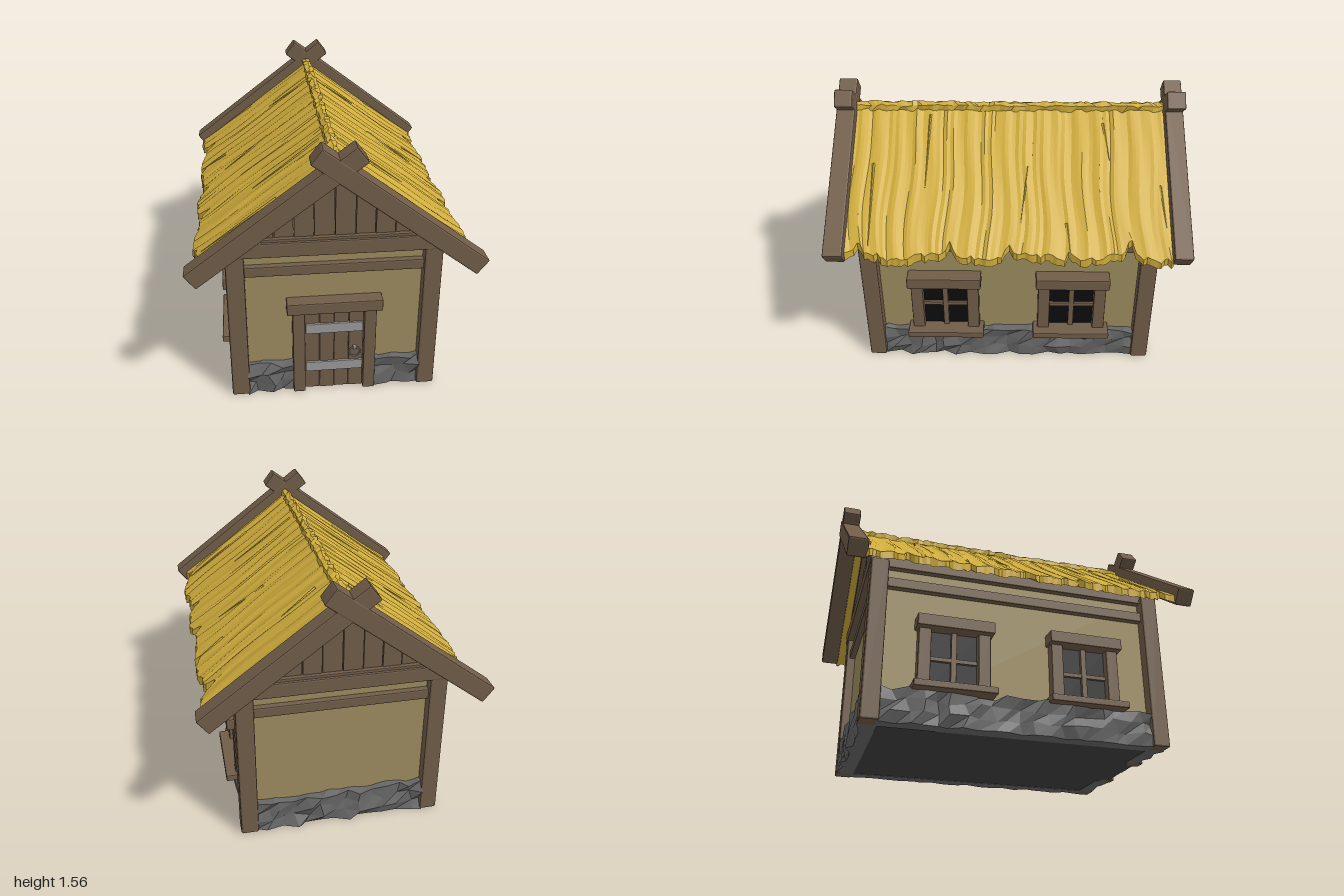
import * as THREE from 'three';
import { RoundedBoxGeometry } from 'three/addons/geometries/RoundedBoxGeometry.js';

const paint = (color) => new THREE.MeshStandardMaterial({ color, flatShading: true });
const wood = paint(0x705c48), plaster = paint(0x9c8b5e), straw = paint(0xcfac3c);
const stone = paint(0x686868), metal = paint(0x999999), dark = paint(0x0c0c0c), earth = paint(0x404040);

// Repeatable noise in -1..1 from a position
function noise(x, y = 0, z = 0) {
  const n = Math.sin(Math.round(x * 500) * 12.9898 + Math.round(y * 500) * 78.233 + Math.round(z * 500) * 37.719) * 43758.5453;
  return (n - Math.floor(n)) * 2 - 1;
}

function add(parent, name, geometry, material, x = 0, y = 0, z = 0) {
  const mesh = new THREE.Mesh(geometry, material);
  mesh.name = name;
  mesh.position.set(x, y, z);
  parent.add(mesh);
  return mesh;
}

// Chamfered timber given by its lower and upper corners
function timber(parent, name, [x0, y0, z0], [x1, y1, z1], material = wood, bevel = 0.007) {
  const geometry = new RoundedBoxGeometry(x1 - x0, y1 - y0, z1 - z0, 1, bevel);
  return add(parent, name, geometry, material, (x0 + x1) / 2, (y0 + y1) / 2, (z0 + z1) / 2);
}

// Moves every vertex by a rule that edits the vector in place
function reshape(geometry, rule) {
  const pos = geometry.attributes.position, v = new THREE.Vector3();
  for (let i = 0; i < pos.count; i++) {
    rule(v.fromBufferAttribute(pos, i));
    pos.setXYZ(i, v.x, v.y, v.z);
  }
  geometry.computeVertexNormals();
  return geometry;
}

// Rough stone footing from x0 to x1, its face at depth z
function footing(parent, x0, x1, z) {
  const length = x1 - x0, columns = Math.max(4, Math.round(length / 0.075));
  const geometry = reshape(new THREE.BoxGeometry(length, 0.19, 0.09, columns, 3, 1), (v) => {
    const { x, y, z: depth } = v, seed = x + z * 3 + x0;
    const inside = Math.abs(x) < length / 2 - 0.001;
    if (inside) v.x += noise(seed, y, 1) * 0.022;
    if (y > -0.09) v.y += noise(seed, y, depth) * 0.014;
    if (depth > 0) v.z += noise(seed, y, 3) * 0.022;
  });
  add(parent, 'stoneFooting', geometry, stone, (x0 + x1) / 2, 0.095, z - 0.045);
}

const ridgeY = 1.425, slope = 0.75;

function buildThatch(parent) {
  const half = 0.735, depth = 1.8;
  const notches = [[-0.65, 0.08], [-0.33, 0.04], [-0.02, 0.05], [0.3, 0.05], [0.84, 0.05]];
  const geometry = reshape(new THREE.BoxGeometry(half * 2, 0.045, depth, 24, 1, 90), (v) => {
    const a = Math.abs(v.x), t = a / half, top = v.y > 0, z = v.z;
    const bend = z + 0.02 * Math.sin(t * 7 + z * 4) * t;
    let reach = 0.012 * noise(0, 0, z) + 0.012 * Math.sin(z * 13);
    for (const [at, deep] of notches) reach -= deep * Math.max(0, 1 - Math.abs(z - at) / 0.035);
    const x = a + reach * Math.max(0, (t - 0.85) / 0.15);
    const ripple = 0.005 * noise(5, 0, z) + 0.004 * Math.sin(z * 60 + t * 3);
    v.x = Math.sign(v.x) * x;
    v.y = ridgeY - slope * x + (top ? ripple : -0.045 + 0.008 * noise(2, 0, z) * t);
    if (Math.abs(z) < depth / 2 - 0.01) v.z = bend;
  });
  add(parent, 'thatch', geometry, straw);

  // Ragged straw roll along the ridge
  const roll = reshape(new THREE.BoxGeometry(0.05, 0.035, 1.79, 2, 1, 60), (v) => {
    const { x, y, z } = v;
    v.x += 0.008 * noise(x, y, z);
    v.y += 0.007 * noise(x + 1, y, z) - Math.abs(x) * 0.5;
  });
  add(parent, 'ridgeRoll', roll, straw, 0, ridgeY + 0.008, 0);

  // Loose straws lying on both slopes: upper x and z, lower x and z
  const loose = [[0.05, 0.46, 0.42, 0.47], [0.31, -0.11, 0.58, -0.07], [0.09, -0.54, 0.28, -0.57],
    [0.58, -0.32, 0.72, -0.34], [0.3, 0.77, 0.7, 0.765], [0.4, -0.85, 0.6, -0.87]];
  for (const side of [-1, 1]) for (const [xa, za, xb, zb] of loose) {
    const a = new THREE.Vector3(side * xa, ridgeY + 0.002 - slope * xa, za);
    const b = new THREE.Vector3(side * xb, ridgeY + 0.006 - slope * xb, zb);
    const blade = add(parent, 'looseStraw', new THREE.CylinderGeometry(0.001, 0.008, a.distanceTo(b), 4), straw);
    blade.position.lerpVectors(a, b, 0.5);
    blade.quaternion.setFromUnitVectors(new THREE.Vector3(0, 1, 0), b.sub(a).normalize());
  }
}

// Planked gable, tie beams and crossed bargeboards, facing +z
function buildGable() {
  const gable = new THREE.Group();
  gable.name = 'gable';
  const topAt = (x) => 1.4 - 0.76 * Math.abs(x);
  const edges = [-0.53, -0.43, -0.32, -0.215, -0.11, 0, 0.11, 0.215, 0.32, 0.43, 0.53];
  for (let i = 0; i < edges.length - 1; i++) {
    const a = edges[i] + 0.002, b = edges[i + 1] - 0.002;
    const shape = new THREE.Shape([[a, 0.96], [b, 0.96], [b, topAt(b)], [a, topAt(a)]].map((p) => new THREE.Vector2(...p)));
    const plank = new THREE.ExtrudeGeometry(shape, { depth: 0.03, bevelEnabled: false });
    add(gable, 'gablePlank', plank, wood, 0, 0, 0.79 + (i % 2) * 0.004);
  }
  const angle = Math.atan(0.76);
  for (const side of [-1, 1]) {
    const trim = add(gable, 'gableTrim', new RoundedBoxGeometry(0.68, 0.05, 0.05, 1, 0.005), wood, side * 0.265, 1.16, 0.825);
    trim.rotation.z = -side * angle;
    const board = add(gable, 'bargeboard', new RoundedBoxGeometry(1.09, 0.102, side > 0 ? 0.108 : 0.104, 1, 0.008), wood, side * 0.321, 1.19, 0.946);
    board.rotation.z = -side * angle;
  }
  timber(gable, 'tieBeam', [-0.57, 0.9, 0.76], [0.57, 0.985, 0.86]);
  timber(gable, 'tieBeamCap', [-0.5, 0.98, 0.78], [0.5, 1.0, 0.845], wood, 0.004);
  timber(gable, 'wallRail', [-0.5, 0.77, 0.78], [0.5, 0.83, 0.835]);
  return gable;
}

// Window seen along +z, its wall face at z = 0
function buildWindow() {
  const win = new THREE.Group();
  win.name = 'window';
  add(win, 'windowOpening', new THREE.BoxGeometry(0.28, 0.34, 0.01), dark, 0, 0.38, 0.002);
  for (const side of [-1, 1]) timber(win, 'windowPost', [side * 0.165 - 0.035, 0.21, -0.02], [side * 0.165 + 0.035, 0.55, 0.05]);
  timber(win, 'windowMullion', [-0.016, 0.21, -0.01], [0.016, 0.55, 0.026], wood, 0.004);
  timber(win, 'windowCrossbar', [-0.14, 0.367, -0.01], [0.14, 0.392, 0.022], wood, 0.004);
  timber(win, 'windowLintel', [-0.215, 0.54, -0.02], [0.215, 0.61, 0.088]);
  timber(win, 'windowSill', [-0.227, 0.185, -0.02], [0.227, 0.225, 0.108]);
  return win;
}

function buildDoor() {
  const door = new THREE.Group();
  door.name = 'door';
  for (let i = 0; i < 4; i++) {
    const x = -0.164 + i * 0.082;
    timber(door, 'doorPlank', [x, 0.004, 0.78], [x + 0.081, 0.55, 0.832 + (i % 2) * 0.003], wood, 0.004);
  }
  for (const side of [-1, 1]) timber(door, 'doorPost', [side * 0.198 - 0.034, 0, 0.78], [side * 0.198 + 0.034, 0.55, 0.862]);
  timber(door, 'doorLintel', [-0.263, 0.54, 0.78], [0.263, 0.61, 0.878]);
  for (const y of [0.16, 0.42]) timber(door, 'doorStrap', [-0.16, y - 0.031, 0.82], [0.16, y + 0.031, 0.845], metal, 0.003);
  add(door, 'doorRing', new THREE.TorusGeometry(0.031, 0.005, 6, 20), metal, 0.115, 0.252, 0.846);
  timber(door, 'ringStaple', [0.106, 0.272, 0.825], [0.124, 0.29, 0.856], metal, 0.003);
  return door;
}

export function createModel() {
  const house = new THREE.Group();
  house.name = 'cottage';

  // Walls, ground slab and corner posts
  add(house, 'walls', new THREE.BoxGeometry(1.04, 0.93, 1.6), plaster, 0, 0.475, 0);
  add(house, 'groundSlab', new THREE.BoxGeometry(1.08, 0.02, 1.64), earth, 0, 0.012, 0);
  for (const x of [-0.53, 0.53]) for (const z of [-0.805, 0.805]) {
    timber(house, 'cornerPost', [x - 0.05, 0, z - 0.05], [x + 0.05, 0.925, z + 0.05], wood, 0.01);
  }

  // Long sides: windows, rail, eave beam and footing, facing +z before turning
  for (const side of [-1, 1]) {
    const flank = new THREE.Group();
    flank.name = side > 0 ? 'leftSide' : 'rightSide';
    for (const x of [-0.375, 0.375]) {
      const win = buildWindow();
      win.position.set(x, 0, 0.522);
      flank.add(win);
    }
    timber(flank, 'wallRail', [-0.77, 0.77, 0.5], [0.77, 0.83, 0.555]);
    timber(flank, 'eaveBeam', [-0.77, 0.89, 0.47], [0.77, 0.955, 0.555]);
    footing(flank, -0.765, 0.765, 0.565);
    flank.rotation.y = side * Math.PI / 2;
    house.add(flank);
  }

  // Front and back ends
  for (const turn of [0, Math.PI]) {
    const end = buildGable();
    end.rotation.y = turn;
    if (turn) footing(end, -0.49, 0.49, 0.842);
    else for (const [a, b] of [[-0.49, -0.22], [0.22, 0.49]]) footing(end, a, b, 0.842);
    house.add(end);
  }
  house.add(buildDoor());

  const roof = new THREE.Group();
  roof.name = 'roof';
  buildThatch(roof);
  house.add(roof);
  return house;
}
